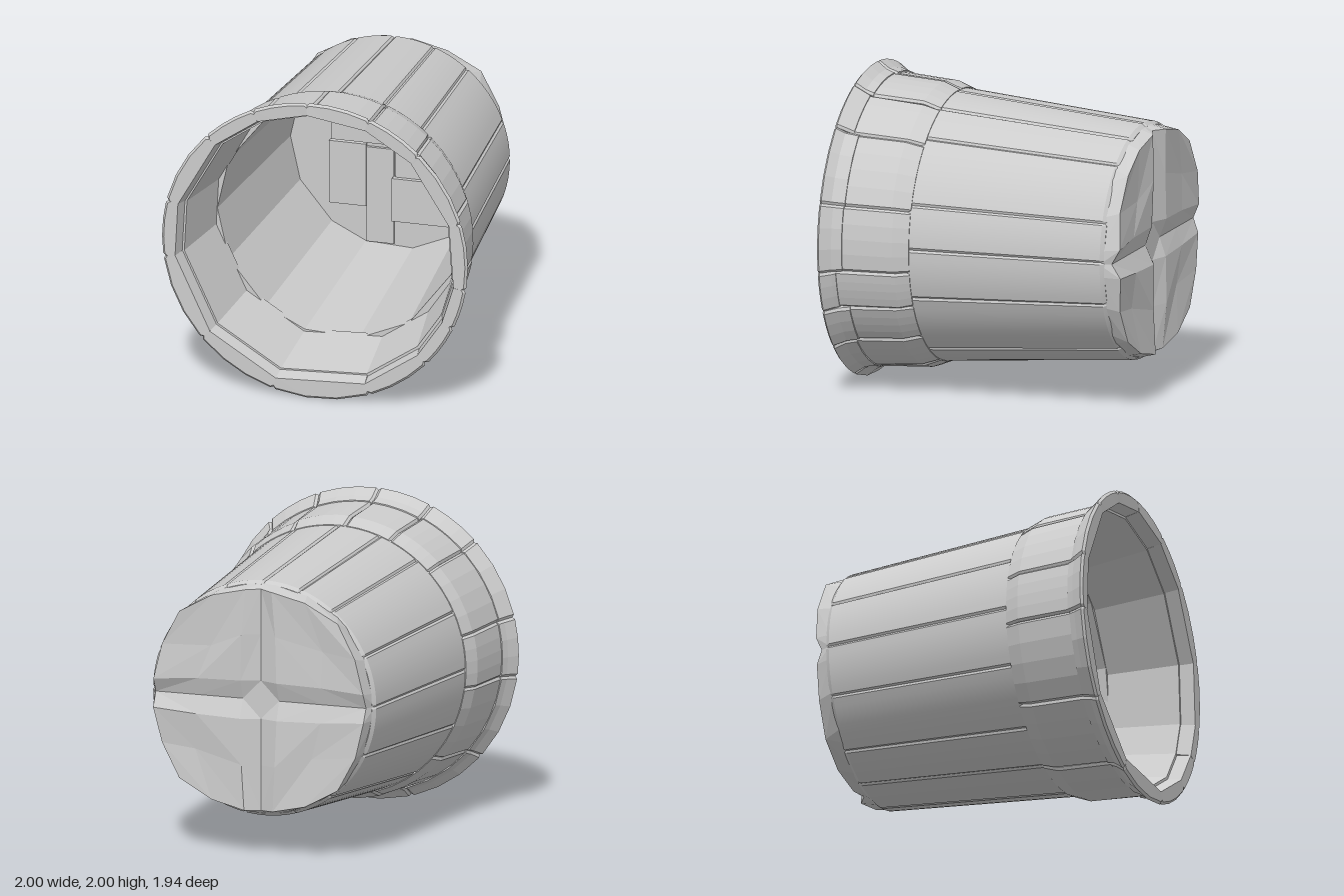
import * as THREE from 'three';
import { toCreasedNormals } from 'three/addons/utils/BufferGeometryUtils.js';

const rad = THREE.MathUtils.degToRad;
const smoothMat = new THREE.MeshStandardMaterial({ color: 0xcccccc });
const flatMat = new THREE.MeshStandardMaterial({ color: 0xcccccc, flatShading: true });

let seed = 7;
const jitter = (amount) => {
  seed = (seed * 16807) % 2147483647;
  return (seed / 2147483647 - 0.5) * 2 * amount;
};

function build(triangles) {
  const geo = new THREE.BufferGeometry();
  geo.setAttribute('position', new THREE.Float32BufferAttribute(triangles.flat(2), 3));
  geo.computeVertexNormals();
  return geo;
}

// One stave: a closed [radius, z] section swept from angle a0 to a1 (degrees).
// The outer points round the axis, the inner ones lie on a flat chord; the side edges are chamfered.
function staveGeometry(a0, a1, outer, inner, segs, bevel) {
  const mid = (a0 + a1) / 2, half = (a1 - a0) / 2;
  const angles = [a0];
  for (let i = 0; i <= segs; i++) angles.push(a0 + 1 + ((a1 - a0 - 2) * i) / segs);
  angles.push(a1);
  const columns = angles.map((a, j) => {
    const edge = j === 0 || j === angles.length - 1;
    const chord = Math.cos(rad(half)) / Math.cos(rad(a - mid));
    const at = (r, z) => [r * Math.cos(rad(a)), 1 + r * Math.sin(rad(a)), z];
    return [
      ...outer.map(([r, z]) => at(r - (edge ? bevel : 0), z)),
      ...inner.map(([r, z]) => at(r * chord, z)),
    ];
  });
  const tris = [];
  const n = columns[0].length;
  for (let j = 0; j < columns.length - 1; j++) {
    const A = columns[j], B = columns[j + 1];
    for (let i = 0; i < n; i++) {
      const k = (i + 1) % n;
      tris.push([A[i], A[k], B[k]], [A[i], B[k], B[i]]);
    }
  }
  const first = columns[0], last = columns[columns.length - 1];
  for (let i = 0; i < n - 2; i++) {
    tris.push([first[n - 1], first[i + 1], first[i]], [last[n - 1], last[i], last[i + 1]]);
  }
  return build(tris);
}

function staveRing(name, seams, makeStave) {
  const ring = new THREE.Group();
  ring.name = name;
  seams.forEach((a, i) => {
    const next = i + 1 < seams.length ? seams[i + 1] : seams[0] + 360;
    const mesh = makeStave(a, next);
    mesh.name = name + 'Piece';
    ring.add(mesh);
  });
  return ring;
}

// Square grid wrapped onto a disc: chamfered rim, cross-shaped groove, chipped faces
function bottomGeometry() {
  const steps = [-1, -0.93, -0.55, -0.16, 0, 0.16, 0.55, 0.93, 1];
  const grid = steps.map((u) => steps.map((v) => {
    const au = Math.abs(u), av = Math.abs(v), ring = Math.max(au, av);
    const R = ring === 1 ? 0.745 : 0.765;
    let z = ring === 1 ? -0.84 : -0.955 + jitter(0.012);
    if (ring < 1) {
      if (au === 0 || av === 0) z = -0.91;
      else if (au === 0.55 && av === 0.55) z += 0.03 + jitter(0.03);
    }
    const wobble = ring < 0.9 && au > 0.2 && av > 0.2 ? jitter(0.06) : 0;
    return [
      R * u * Math.sqrt(1 - (v * v) / 2) + wobble,
      1 + R * v * Math.sqrt(1 - (u * u) / 2) + wobble,
      z,
    ];
  }));
  const tris = [];
  for (let i = 0; i < steps.length - 1; i++) {
    for (let j = 0; j < steps.length - 1; j++) {
      const a = grid[i][j], b = grid[i + 1][j], c = grid[i + 1][j + 1], d = grid[i][j + 1];
      // split each cell along the diagonal that follows the rim
      if ((i < 4) === (j < 4)) tris.push([a, d, b], [b, d, c]);
      else tris.push([a, c, b], [a, d, c]);
    }
  }
  return build(tris);
}

export function createModel() {
  const bucket = new THREE.Group();
  bucket.name = 'bucket';

  // Long tapered body staves
  const bodySeams = [1, 20, 51, 70, 90, 109, 128, 155, 180, 205, 233, 254, 280, 306, 339];
  bucket.add(staveRing('bodyStaves', bodySeams, (a, b) => new THREE.Mesh(
    toCreasedNormals(staveGeometry(a, b,
      [[0.862, 0.43], [0.755, -0.845], [0.735, -0.87]],
      [[0.68, -0.87], [0.79, 0.43]], 6, 0.01), 0.4),
    smoothMat)));

  // Thick band around the mouth and the flared lip in front of it
  const bandSeams = [-43, -25, -9, 17, 47, 69, 93, 114, 135, 166, 188, 222, 254, 291];
  const lipBacks = bandSeams.map(() => 0.84 + jitter(0.035));
  bucket.add(staveRing('mouthBand', bandSeams, (a, b) => new THREE.Mesh(
    staveGeometry(a, b,
      [[0.93, 0.88], [0.902 + jitter(0.006), 0.5 + jitter(0.02)], [0.865, 0.4]],
      [[0.8, 0.4], [0.885, 0.88]], 4, 0.014),
    flatMat)));
  bucket.add(staveRing('mouthLip', bandSeams, (a, b) => {
    const back = lipBacks[bandSeams.indexOf(a)];
    return new THREE.Mesh(
      staveGeometry(a, b,
        [[0.985, 0.97], [1, 0.955], [0.955, 0.89 + jitter(0.015)], [0.935, back]],
        [[0.89, back], [0.92, 0.97 + jitter(0.003)]], 3, 0.014),
      flatMat);
  }));

  // Grooved outer bottom
  const bottom = new THREE.Mesh(bottomGeometry(), flatMat);
  bottom.name = 'bottom';
  bucket.add(bottom);

  // Inner floor with uneven blocks: [x, y, width, height, thickness]
  const floor = new THREE.Mesh(new THREE.CircleGeometry(0.71, 28), flatMat);
  floor.name = 'floor';
  floor.position.set(0, 1, -0.85);
  bucket.add(floor);
  const blocks = [
    [-0.2, 1.24, 0.4, 0.42, 0.05],
    [-0.3, 0.8, 0.24, 0.42, 0.03],
    [0.18, 0.66, 0.37, 0.29, 0.05],
    [0.33, 1.14, 0.64, 0.23, 0.04],
    [0.33, 0.91, 0.64, 0.22, 0.02],
    [-0.09, 0.67, 0.18, 0.64, 0.02],
    [0.17, 1.39, 0.34, 0.27, 0.02],
  ];
  for (const [x, y, w, h, t] of blocks) {
    const block = new THREE.Mesh(new THREE.BoxGeometry(w, h, t), flatMat);
    block.name = 'floorBlock';
    block.position.set(x, y, -0.85 + t / 2);
    bucket.add(block);
  }
  return bucket;
}
